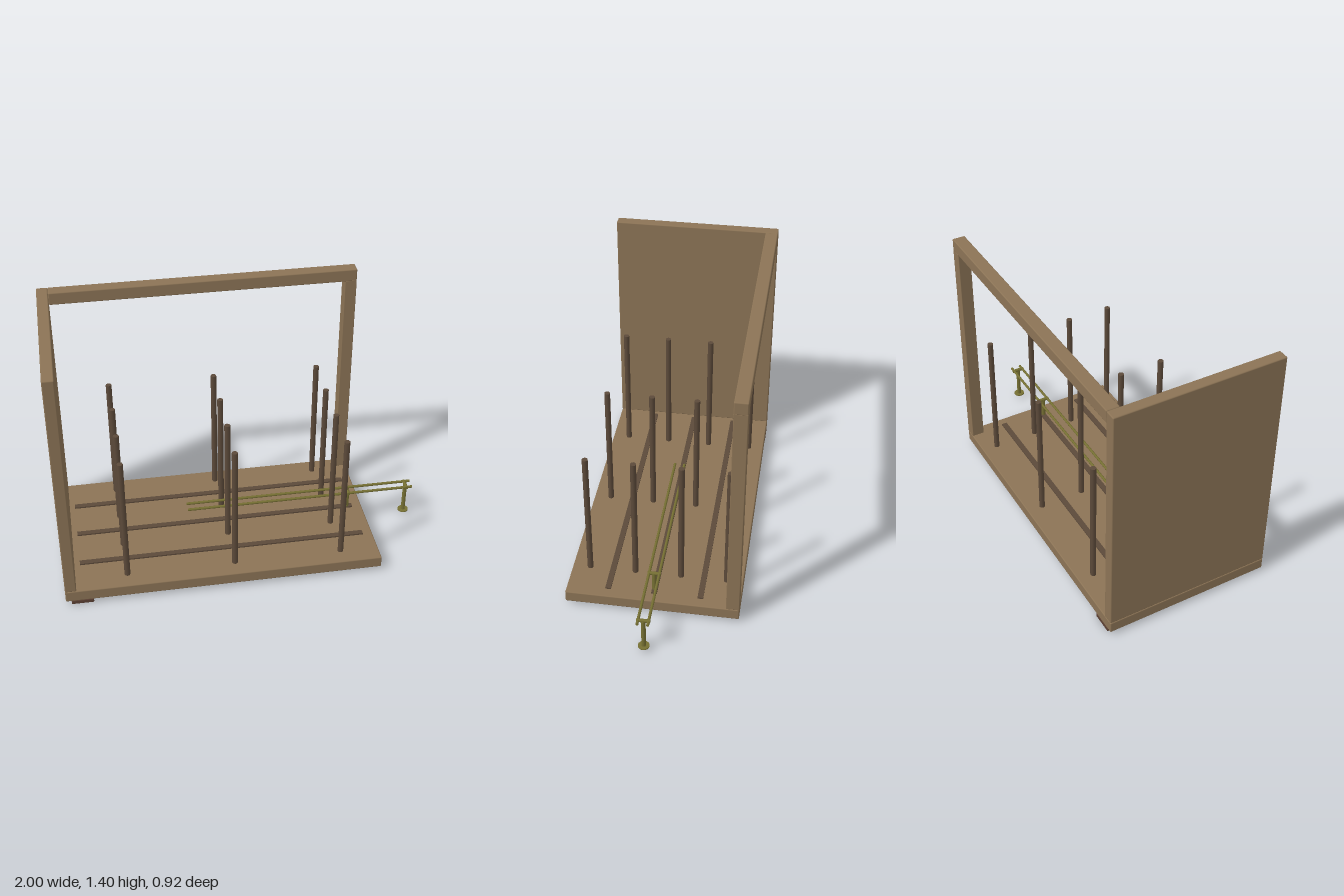
import * as THREE from 'three';
import { RoundedBoxGeometry } from 'three/addons/geometries/RoundedBoxGeometry.js';

const material = (name, color) => {
  const m = new THREE.MeshStandardMaterial({ color });
  m.name = name;
  return m;
};

export function createModel() {
  const model = new THREE.Group();
  model.name = 'framedPlatform';
  const wood = material('wood', 0x8b7355);
  const darkWood = material('darkWood', 0x5c4a3a);
  const footWood = material('footWood', 0x5c4033);
  const brass = material('oliveBrass', 0x767033);

  const add = (name, geometry, mat, x, y, z, parent = model) => {
    const mesh = new THREE.Mesh(geometry, mat);
    mesh.name = name;
    mesh.position.set(x, y, z);
    parent.add(mesh);
    return mesh;
  };
  // Box given by its limits on each axis, with optional softened edges
  const box = (name, mat, [x0, x1], [y0, y1], [z0, z1], bevel = 0) => {
    const size = [x1 - x0, y1 - y0, z1 - z0];
    const geometry = bevel
      ? new RoundedBoxGeometry(...size, 2, bevel)
      : new THREE.BoxGeometry(...size);
    return add(name, geometry, mat, (x0 + x1) / 2, (y0 + y1) / 2, (z0 + z1) / 2);
  };

  // Platform, solid end wall and open rear frame
  box('base', wood, [-1, 0.715], [0.025, 0.09], [-0.46, 0.46], 0.006);
  box('endWall', wood, [-1, -0.94], [0.09, 1.405], [-0.46, 0.46], 0.006);
  box('cornerPost', wood, [0.65, 0.715], [0.09, 1.34], [-0.46, -0.39], 0.004);
  box('topBeam', wood, [-0.94, 0.715], [1.335, 1.405], [-0.46, -0.39], 0.006);
  box('footStrip', footWood, [-0.97, -0.852], [0.003, 0.026], [-0.46, 0.46], 0.004);

  // Thin strips along the floor
  for (const z of [-0.25, -0.005, 0.24])
    box('floorStrip', darkWood, [-0.91, 0.66], [0.088, 0.098], [z - 0.015, z + 0.015]);

  // Grid of upright poles
  const pole = new THREE.CylinderGeometry(0.016, 0.016, 0.735, 8);
  for (const x of [-0.663, -0.08, 0.505])
    for (const z of [-0.372, -0.126, 0.12, 0.366])
      add('pole', pole, darkWood, x, 0.4555, z);

  // Twin rail reaching out past the open end
  const track = new THREE.Group();
  track.name = 'railTrack';
  model.add(track);
  const rail = new THREE.CylinderGeometry(0.0075, 0.0075, 1.29, 8).rotateZ(Math.PI / 2);
  for (const z of [-0.0295, 0.0245]) add('rail', rail, brass, 0.355, 0.208, z, track);

  // Supports: one on the platform, one on the ground beyond it
  const tie = new THREE.CylinderGeometry(0.0095, 0.0095, 0.07, 8).rotateX(Math.PI / 2);
  const disc = new THREE.CylinderGeometry(0.03, 0.03, 0.006, 16);
  for (const [x, bottom] of [[0.628, 0.09], [0.968, 0.026]]) {
    const height = 0.205 - bottom;
    const leg = new THREE.CylinderGeometry(0.012, 0.012, height, 8);
    add('supportLeg', leg, brass, x, bottom + height / 2, -0.0025, track);
    add('supportTie', tie, brass, x, 0.207, -0.0025, track);
  }
  add('supportFoot', disc, brass, 0.968, 0.028, -0.0025, track);

  return model;
}
